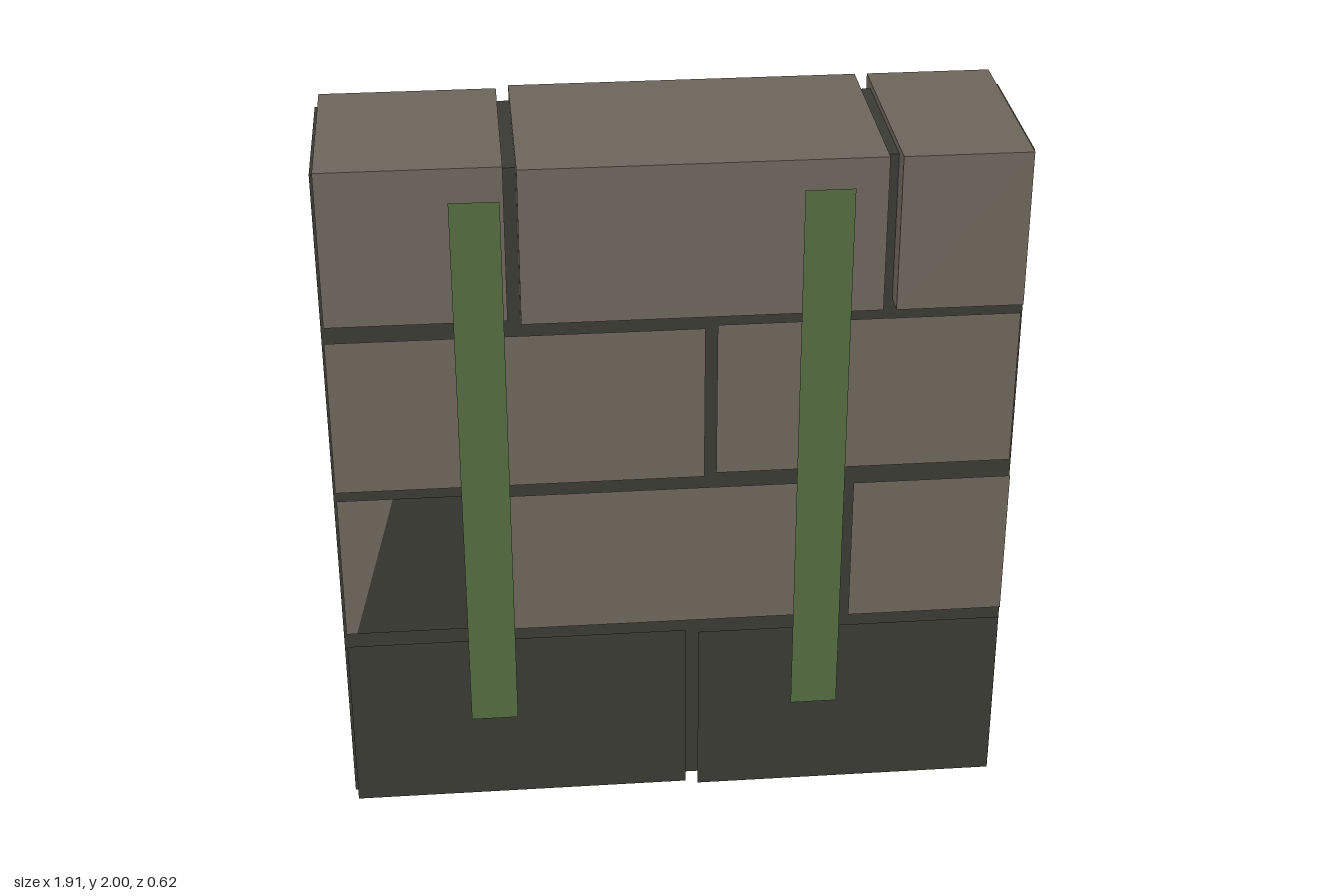
import * as THREE from 'three';

const material = (name, color) =>
  Object.assign(new THREE.MeshStandardMaterial({ color, side: THREE.DoubleSide }), { name });

export function createModel() {
  const stone = material('brown stone', 0x6d655b);
  const mortar = material('dark mortar', 0x3a3a34);
  const moss = material('moss green', 0x536b3f);
  const wall = new THREE.Group();
  wall.name = 'brickWall';

  const add = (name, geometry, mat, parent = wall) => {
    const mesh = new THREE.Mesh(geometry, mat);
    mesh.name = name;
    parent.add(mesh);
    return mesh;
  };

  // Upright sheet facing the front
  const panel = (name, x0, x1, y0, y1, z, mat, parent) =>
    add(name, new THREE.PlaneGeometry(x1 - x0, y1 - y0)
      .translate((x0 + x1) / 2, (y0 + y1) / 2, z), mat, parent);

  // Level sheet facing up
  const slab = (name, x0, x1, z0, z1, y, mat, parent) =>
    add(name, new THREE.PlaneGeometry(x1 - x0, z1 - z0).rotateX(-Math.PI / 2)
      .translate((x0 + x1) / 2, y, (z0 + z1) / 2), mat, parent);

  // Flat outline facing the front
  const outline = (name, points, z, mat) =>
    add(name, new THREE.ShapeGeometry(
      new THREE.Shape(points.map(([x, y]) => new THREE.Vector2(x, y)))).translate(0, 0, z), mat);

  // Mortar core: front and top only
  panel('coreFront', -0.955, 0.955, 0, 1.98, 0.23, mortar);
  slab('coreTop', -0.955, 0.955, -0.245, 0.23, 1.98, mortar);

  // Coping stones: front, top and both ends, open behind and below
  for (const [x0, x1, z0, z1] of [
    [-0.945, -0.455, -0.29, 0.27],
    [-0.42, 0.557, -0.31, 0.295],
    [0.592, 0.94, -0.31, 0.297],
  ]) {
    const coping = new THREE.Group();
    coping.name = 'copingStone';
    wall.add(coping);
    panel('copingFront', x0, x1, 1.555, 2, z1, stone, coping);
    slab('copingTop', x0, x1, z0, z1, 2, stone, coping);
    for (const [x, side] of [[x0, -1], [x1, 1]]) {
      add('copingEnd', new THREE.PlaneGeometry(z1 - z0, 0.445).rotateY(side * Math.PI / 2)
        .translate(x, 1.7775, (z0 + z1) / 2), stone, coping);
    }
  }

  // Face bricks of the lower courses
  for (const [x0, x1, y0, y1, z, mat] of [
    [-0.945, 0.075, 1.06, 1.52, 0.293, stone],
    [0.11, 0.94, 1.06, 1.52, 0.275, stone],
    [-0.5, 0.46, 0.58, 1.02, 0.285, stone],
    [0.495, 0.94, 0.58, 1.02, 0.297, stone],
    [-0.945, 0.027, 0, 0.54, 0.275, mortar],
    [0.062, 0.94, 0, 0.54, 0.288, mortar],
  ]) panel(mat === stone ? 'faceBrick' : 'baseBrick', x0, x1, y0, y1, z, mat);

  // Broken brick with a dark slanted patch
  outline('brokenBrick', [[-0.945, 0.58], [-0.915, 0.58], [-0.79, 1.02], [-0.945, 1.02]], 0.27, stone);
  outline('brokenPatch', [[-0.915, 0.58], [-0.535, 0.58], [-0.535, 1.02], [-0.79, 1.02]], 0.27, mortar);

  // Hanging moss strips
  for (const x of [-0.6, 0.333]) panel('mossStrip', x, x + 0.134, 0.29, 1.92, 0.31, moss);

  return wall;
}
